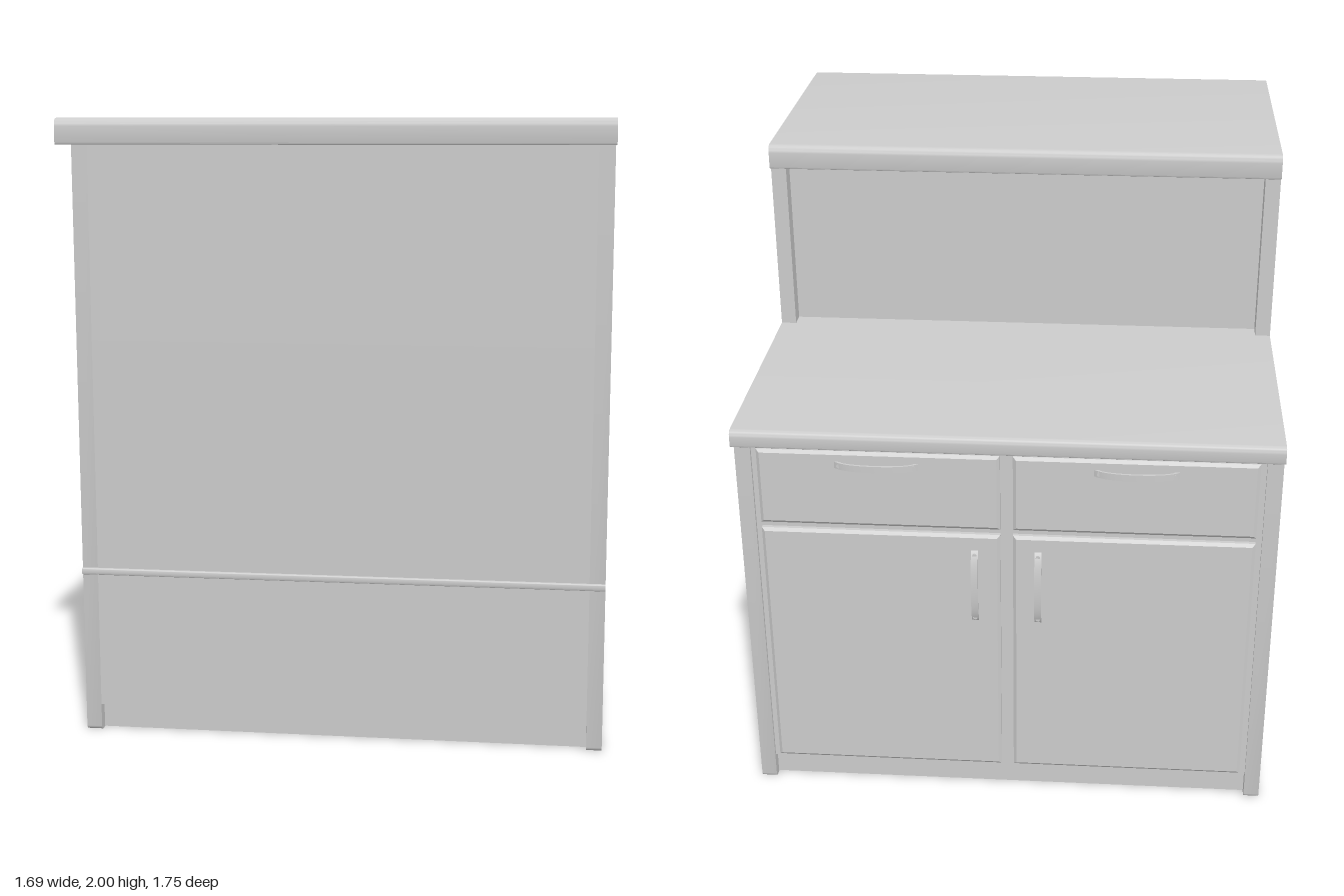
import * as THREE from 'three';
import { toCreasedNormals } from 'three/addons/utils/BufferGeometryUtils.js';

const HALF = 0.845, PANEL = 0.05, INNER = HALF - PANEL;

export function createModel() {
  const model = new THREE.Group();
  model.name = 'receptionDesk';
  const material = new THREE.MeshStandardMaterial({ color: 0xcccccc });

  const add = (name, geometry, parent = model) => {
    const mesh = new THREE.Mesh(geometry, material);
    mesh.name = name;
    parent.add(mesh);
    return mesh;
  };

  // box given by its limits on each axis
  const box = (name, x0, x1, y0, y1, z0, z1) => {
    const g = new THREE.BoxGeometry(x1 - x0, y1 - y0, z1 - z0);
    return add(name, g.translate((x0 + x1) / 2, (y0 + y1) / 2, (z0 + z1) / 2));
  };

  // outline of [z, y, cornerRadius] points, swept along x
  const sweep = (name, points, x0, x1) => {
    const shape = new THREE.Shape();
    const n = points.length;
    points.forEach(([z, y, r], i) => {
      const p = new THREE.Vector2(z, y);
      const toward = ([a, b]) => new THREE.Vector2(a, b).sub(p).setLength(r).add(p);
      const a = toward(points[(i + n - 1) % n]), b = toward(points[(i + 1) % n]);
      if (i === 0) shape.moveTo(a.x, a.y); else shape.lineTo(a.x, a.y);
      if (r > 0) shape.quadraticCurveTo(z, y, b.x, b.y);
    });
    shape.closePath();
    const g = new THREE.ExtrudeGeometry(shape, { depth: x1 - x0, bevelEnabled: false, curveSegments: 6 });
    g.rotateY(-Math.PI / 2).translate(x1, 0, 0);
    return add(name, toCreasedNormals(g, 0.6));
  };

  // stepped side panels with rounded feet
  const side = [[-0.82, 0, 0.02], [0.705, 0, 0.02], [0.705, 1.92, 0],
    [-0.035, 1.92, 0], [-0.035, 1.3, 0], [-0.82, 1.3, 0]];
  sweep('leftSidePanel', side, INNER, HALF);
  sweep('rightSidePanel', side, -HALF, -INNER);

  // cabinet body, recessed plinth and the set-back upper wall
  box('cabinetBody', -INNER, INNER, 0.09, 1.3, -0.81, 0.705);
  box('plinth', -INNER, INNER, 0.002, 0.09, -0.785, 0.67);
  box('upperWall', -INNER, INNER, 1.3, 1.92, 0.02, 0.705);

  // worktop and raised counter
  sweep('worktop', [[-0.866, 1.3, 0.006], [0.02, 1.3, 0], [0.02, 1.355, 0], [-0.866, 1.355, 0.02]], -HALF, HALF);
  sweep('raisedCounter', [[-0.055, 1.92, 0.006], [0.875, 1.92, 0.006],
    [0.875, 2, 0.025], [-0.055, 2, 0.025]], -HALF, HALF);

  // trim strip across the customer side
  sweep('trimStrip', [[0.7, 0.532, 0], [0.715, 0.532, 0.006], [0.715, 0.554, 0.006], [0.7, 0.554, 0]], -HALF, HALF);

  // door or drawer front with a bevelled rim, facing -z
  const front = (name, sx, y0, y1) => {
    const w = 0.755, h = y1 - y0, b = 0.01;
    const s = new THREE.Shape();
    s.moveTo(-w / 2 + b, -h / 2 + b);
    s.lineTo(w / 2 - b, -h / 2 + b);
    s.lineTo(w / 2 - b, h / 2 - b);
    s.lineTo(-w / 2 + b, h / 2 - b);
    s.closePath();
    const g = new THREE.ExtrudeGeometry(s, {
      depth: 0.012, bevelSize: b, bevelThickness: 0.008, bevelSegments: 1
    });
    g.rotateY(Math.PI).translate(sx * 0.3975, (y0 + y1) / 2, -0.817);
    add(name, g);
  };

  // bowed pull on two posts
  const handle = (name, x, y, vertical) => {
    const group = new THREE.Group();
    group.name = name;
    const L = 0.13, t = 0.007, w = 0.022;
    const s = new THREE.Shape();
    s.moveTo(-L, 0.008);
    s.quadraticCurveTo(-L * 0.75, 0.035, 0, 0.035);
    s.quadraticCurveTo(L * 0.75, 0.035, L, 0.008);
    s.lineTo(L - 0.012, 0.008);
    s.quadraticCurveTo(L * 0.7, 0.035 - t, 0, 0.035 - t);
    s.quadraticCurveTo(-L * 0.7, 0.035 - t, -L + 0.012, 0.008);
    s.closePath();
    const g = new THREE.ExtrudeGeometry(s, { depth: w, bevelEnabled: false, curveSegments: 10 });
    g.translate(0, 0, -w / 2).rotateX(Math.PI / 2);
    add('handleBow', toCreasedNormals(g, 0.6), group);
    for (const sx of [-1, 1]) {
      const post = new THREE.CylinderGeometry(0.007, 0.007, 0.022, 10);
      add('handlePost', post.rotateX(Math.PI / 2).translate(sx * (L - 0.015), 0, 0.007), group);
    }
    group.rotation.set(0, Math.PI, vertical ? Math.PI / 2 : 0);
    group.position.set(x, y, -0.836);
    model.add(group);
  };

  for (const [label, sx] of [['left', 1], ['right', -1]]) {
    front(label + 'Drawer', sx, 1.02, 1.28);
    front(label + 'Door', sx, 0.11, 1.0);
    handle(label + 'DrawerHandle', sx * 0.4, 1.24, false);
    handle(label + 'DoorHandle', sx * 0.1, 0.82, true);
  }
  return model;
}
